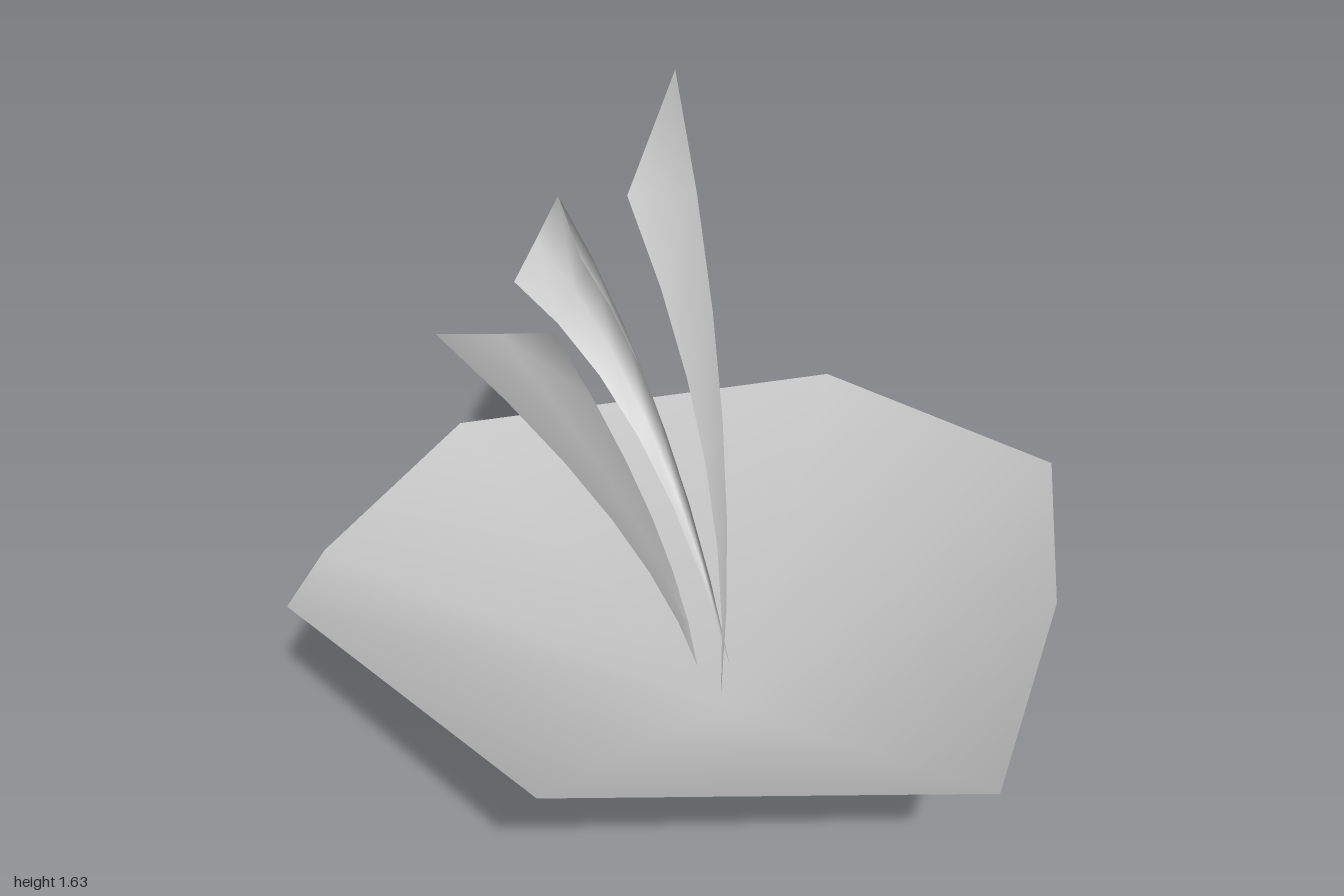
import * as THREE from 'three';

const V = (p) => new THREE.Vector3(...p);

function meshFrom(name, points, index, material) {
  const geometry = new THREE.BufferGeometry().setFromPoints(points);
  geometry.setIndex(index);
  geometry.computeVertexNormals();
  const mesh = new THREE.Mesh(geometry, material);
  mesh.name = name;
  return mesh;
}

// Shallow open bowl: a smooth fan from the foot to an uneven rim
function makeBowl(material) {
  const foot = [0.01, 0, 0.07];
  const rim = [
    [-0.18, 0.385, -1.0], [0.81, 0.44, -0.55], [0.94, 0.53, 0.25], [0.64, 0.43, 0.6],
    [0.09, 0.43, 1.0], [-0.79, 0.54, 0.55], [-0.95, 0.47, -0.4], [-0.77, 0.435, -0.6],
  ];
  const index = [];
  rim.forEach((_, i) => index.push(0, 1 + ((i + 1) % rim.length), 1 + i));
  return meshFrom('bowlPetal', [foot, ...rim].map(V), index, material);
}

// Curled leaf: curves fan out from one base point to the corners of the tip
function makeLeaf(name, base, bend, tip, material) {
  const steps = 6;
  const corners = tip.map(V);
  const mean = new THREE.Vector3();
  corners.forEach((c) => mean.addScaledVector(c, 1 / corners.length));
  const curves = corners.map((c) => new THREE.QuadraticBezierCurve3(
    V(base), V(bend).addScaledVector(c.clone().sub(mean), 0.25), c));

  const points = [V(base)];
  const index = [];
  const n = curves.length;
  for (let r = 1; r <= steps; r++) {
    curves.forEach((curve) => points.push(curve.getPoint(r / steps)));
  }
  for (let r = 0; r < steps; r++) {
    for (let i = 0; i < n - 1; i++) {
      const upper = 1 + r * n + i;
      if (r === 0) {
        index.push(0, upper + 1, upper);
      } else {
        const lower = upper - n;
        index.push(lower, lower + 1, upper, lower + 1, upper + 1, upper);
      }
    }
  }
  return meshFrom(name, points, index, material);
}

export function createModel() {
  const grey = new THREE.MeshStandardMaterial({ color: 0xc4c4c4, side: THREE.DoubleSide });
  grey.name = 'pale grey';

  const group = new THREE.Group();
  group.name = 'flower';
  group.add(makeBowl(grey));

  // Tall middle leaf
  group.add(makeLeaf('tallLeaf', [0.01, 0.03, 0.06], [0.075, 0.8, 0.045], [
    [-0.06, 1.39, -0.23], [0.12, 1.63, -0.3], [0.16, 1.52, -0.38], [0.14, 1.41, -0.43],
  ], grey));

  // Leaf leaning to the side
  group.add(makeLeaf('sideLeaf', [-0.03, 0.12, 0.01], [-0.146, 0.64, 0.03], [
    [-0.565, 1.19, -0.23], [-0.46, 1.205, -0.13], [-0.345, 1.19, -0.09], [-0.34, 0.99, -0.28],
  ], grey));

  // Leaf leaning to the back
  group.add(makeLeaf('backLeaf', [0.06, 0.09, 0.03], [0.07, 0.79, -0.29], [
    [-0.075, 0.91, -0.8], [0.03, 0.98, -0.86], [0.105, 1.09, -0.86], [0.03, 1.03, -0.62],
  ].reverse(), grey));

  return group;
}
